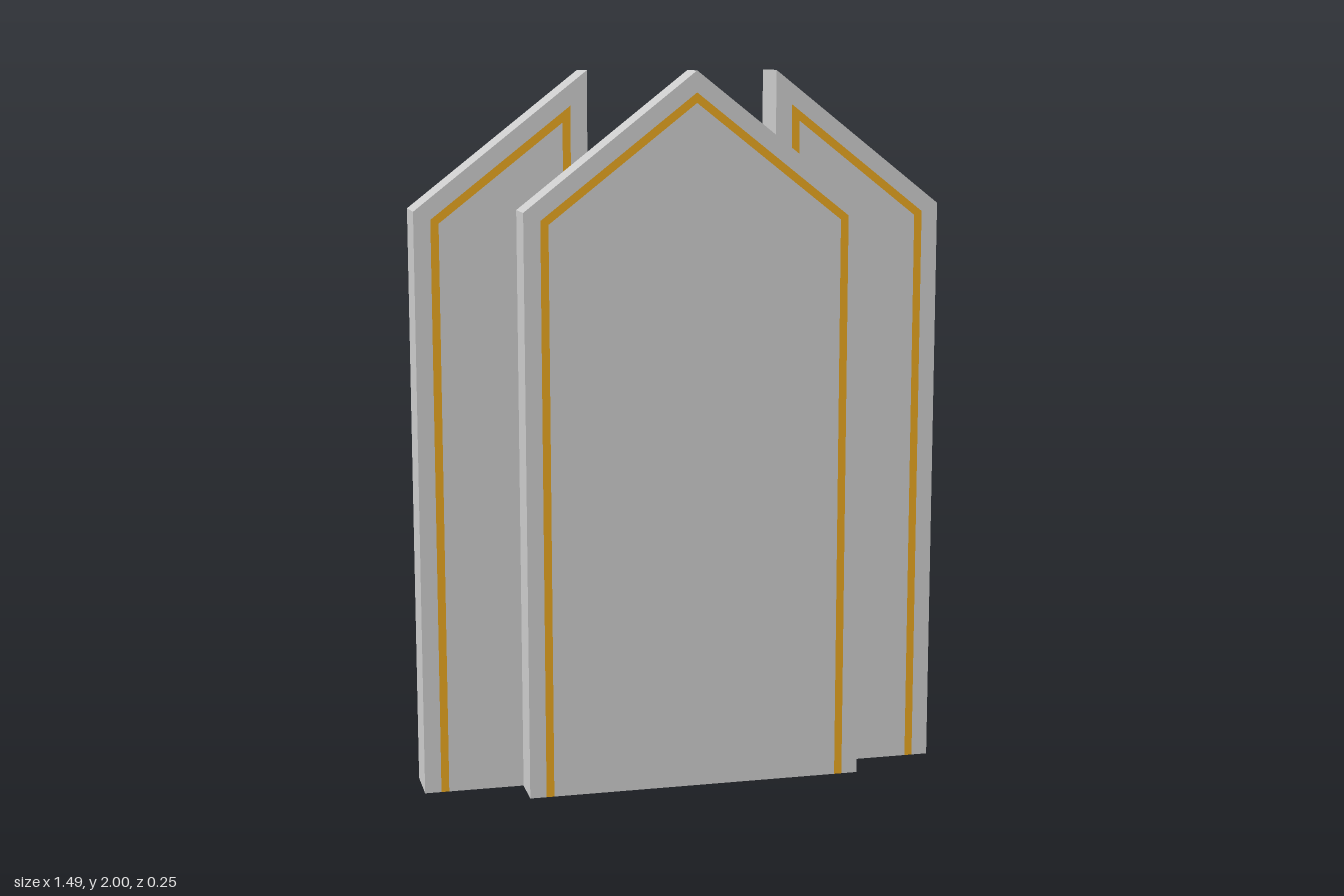
import * as THREE from 'three';

const HEIGHT = 2, EAVE = 1.627, WIDTH = 0.477;
const SLOPE = (HEIGHT - EAVE) / WIDTH;
const RISE = Math.hypot(1, SLOPE); // vertical drop per unit of inset along the roof line

const grey = new THREE.MeshStandardMaterial({ color: 0xcccccc, side: THREE.DoubleSide, flatShading: true });
const gold = new THREE.MeshStandardMaterial({ color: 0xe6a520, side: THREE.DoubleSide, flatShading: true });

// Open outline of a panel, inset by d, running from bottom left over the top to bottom right
function outline({ x0, x1, peak }, d) {
  const top = (x) => HEIGHT - SLOPE * Math.abs(x - peak) - d * RISE;
  const a = x0 + d, b = x1 - d;
  const points = [[a, 0], [a, top(a)]];
  if (peak > a && peak < b) points.push([peak, top(peak)]);
  points.push([b, top(b)], [b, 0]);
  return points.map(([x, y]) => new THREE.Vector2(x, y));
}

function flat(name, points, z, material) {
  const geometry = new THREE.ShapeGeometry(new THREE.Shape(points));
  geometry.translate(0, 0, z);
  const mesh = new THREE.Mesh(geometry, material);
  mesh.name = name;
  return mesh;
}

// Side and roof walls; the bottom stays open
function walls(points, back, front) {
  const positions = [], index = [];
  for (let i = 0; i < points.length - 1; i++) {
    const p = points[i], q = points[i + 1], n = i * 4;
    positions.push(p.x, p.y, back, p.x, p.y, front, q.x, q.y, front, q.x, q.y, back);
    index.push(n, n + 1, n + 2, n, n + 2, n + 3);
  }
  const geometry = new THREE.BufferGeometry();
  geometry.setAttribute('position', new THREE.Float32BufferAttribute(positions, 3));
  geometry.setIndex(index);
  geometry.computeVertexNormals();
  const mesh = new THREE.Mesh(geometry, grey);
  mesh.name = 'walls';
  return mesh;
}

// Hollow panel whose front face is divided by a gold line parallel to its edge
function panel(name, spec) {
  const group = new THREE.Group();
  group.name = name;
  const edge = outline(spec, 0), outer = outline(spec, 0.046), inner = outline(spec, 0.068);
  const band = (a, b) => [...a, ...[...b].reverse()];
  group.add(
    walls(edge, spec.back, spec.front),
    flat('backFace', edge, spec.back, grey),
    flat('frontBorder', band(edge, outer), spec.front, grey),
    flat('goldTrim', band(outer, inner), spec.front, gold),
    flat('frontField', inner, spec.front, grey)
  );
  return group;
}

export function createModel() {
  const model = new THREE.Group();
  model.name = 'arrowPanels';
  const far = { back: -0.125, front: 0.012 };
  model.add(
    panel('centrePanel', { x0: 0.012 - WIDTH, x1: 0.012 + WIDTH, peak: 0.012, back: 0.014, front: 0.125 }),
    panel('leftPanel', { x0: 0.266, x1: 0.266 + WIDTH, peak: 0.266, ...far }),
    panel('rightPanel', { x0: -0.267 - WIDTH, x1: -0.267, peak: -0.267, ...far })
  );
  return model;
}
